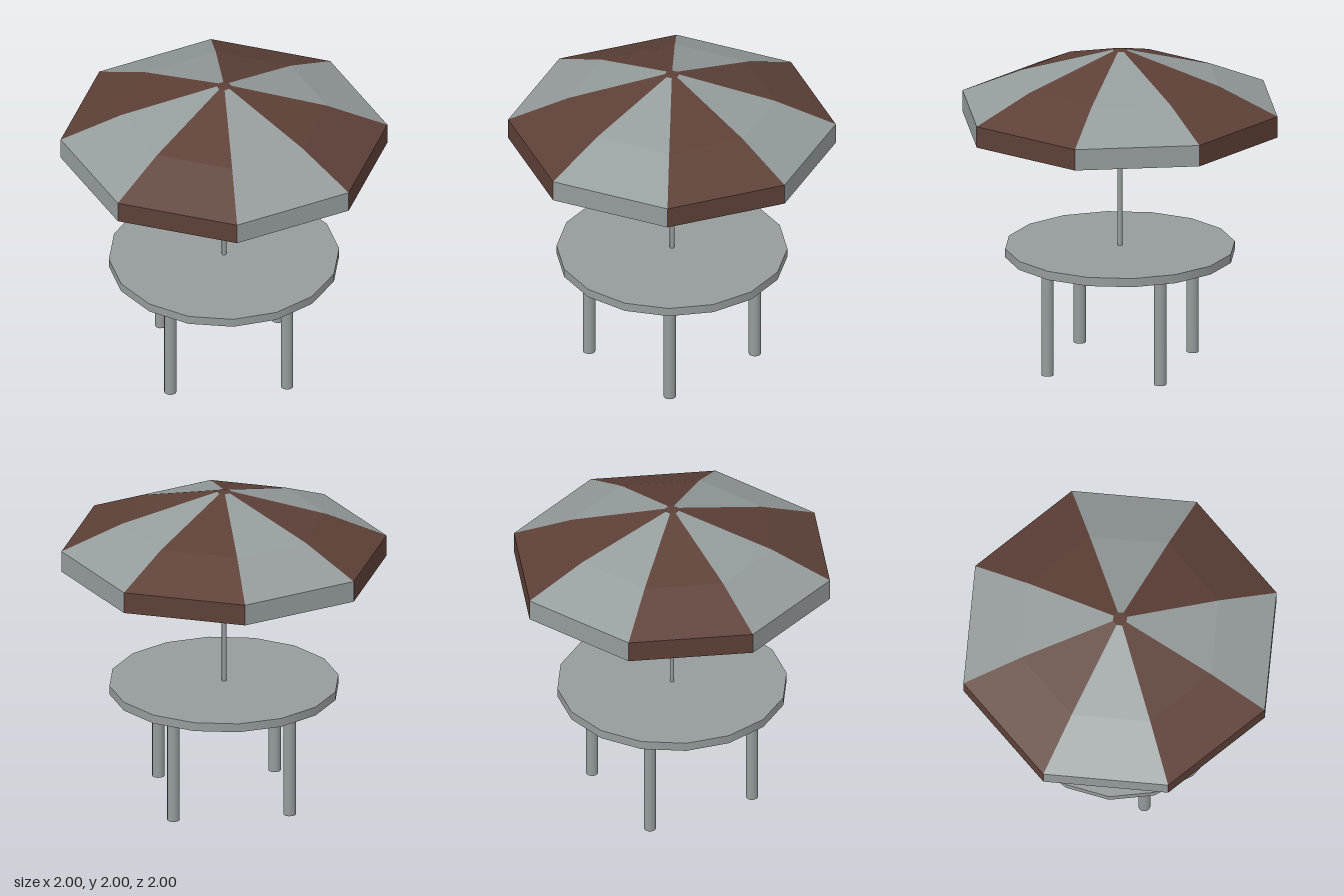
import * as THREE from 'three';

export function createModel() {
  const model = new THREE.Group();
  model.name = 'patioTable';

  const grey = new THREE.MeshStandardMaterial({ color: 0x959c9c });
  grey.name = 'grey';
  const canopyGrey = new THREE.MeshStandardMaterial({ color: 0x959c9c, side: THREE.DoubleSide });
  canopyGrey.name = 'canopy grey';
  const canopyBrown = new THREE.MeshStandardMaterial({ color: 0x5d4037, side: THREE.DoubleSide });
  canopyBrown.name = 'canopy brown';

  function add(name, geometry, material, x = 0, y = 0, z = 0) {
    const mesh = new THREE.Mesh(geometry, material);
    mesh.name = name;
    mesh.position.set(x, y, z);
    model.add(mesh);
    return mesh;
  }

  // Upright cylinder between two heights
  function post(name, radius, bottom, top, sides, x = 0, z = 0) {
    const geometry = new THREE.CylinderGeometry(radius, radius, top - bottom, sides);
    return add(name, geometry, grey, x, (bottom + top) / 2, z);
  }

  // Table top, pole and four legs on the axes
  post('tableTop', 0.705, 0.7, 0.755, 16);
  post('pole', 0.014, 0.755, 1.99, 12);
  for (let i = 0; i < 4; i++) {
    const a = (i * Math.PI) / 2;
    post('leg', 0.038, 0, 0.7, 12, 0.506 * Math.sin(a), 0.506 * Math.cos(a));
  }

  // Eight flat canopy panels with hanging flaps, in alternating colours
  const profile = [[1, 1.525], [1, 1.658], [0.63, 1.82], [0.045, 2]]
    .map(([r, y]) => new THREE.Vector2(r, y));
  for (let i = 0; i < 8; i++) {
    const panel = new THREE.LatheGeometry(profile, 1, (i * Math.PI) / 4, Math.PI / 4).toNonIndexed();
    panel.computeVertexNormals();
    add('canopyPanel', panel, i % 2 ? canopyGrey : canopyBrown);
  }

  // Flat cap closing the peak
  const cap = new THREE.CircleGeometry(0.045, 8).rotateX(-Math.PI / 2);
  add('canopyCap', cap, canopyBrown, 0, 2, 0);

  return model;
}
